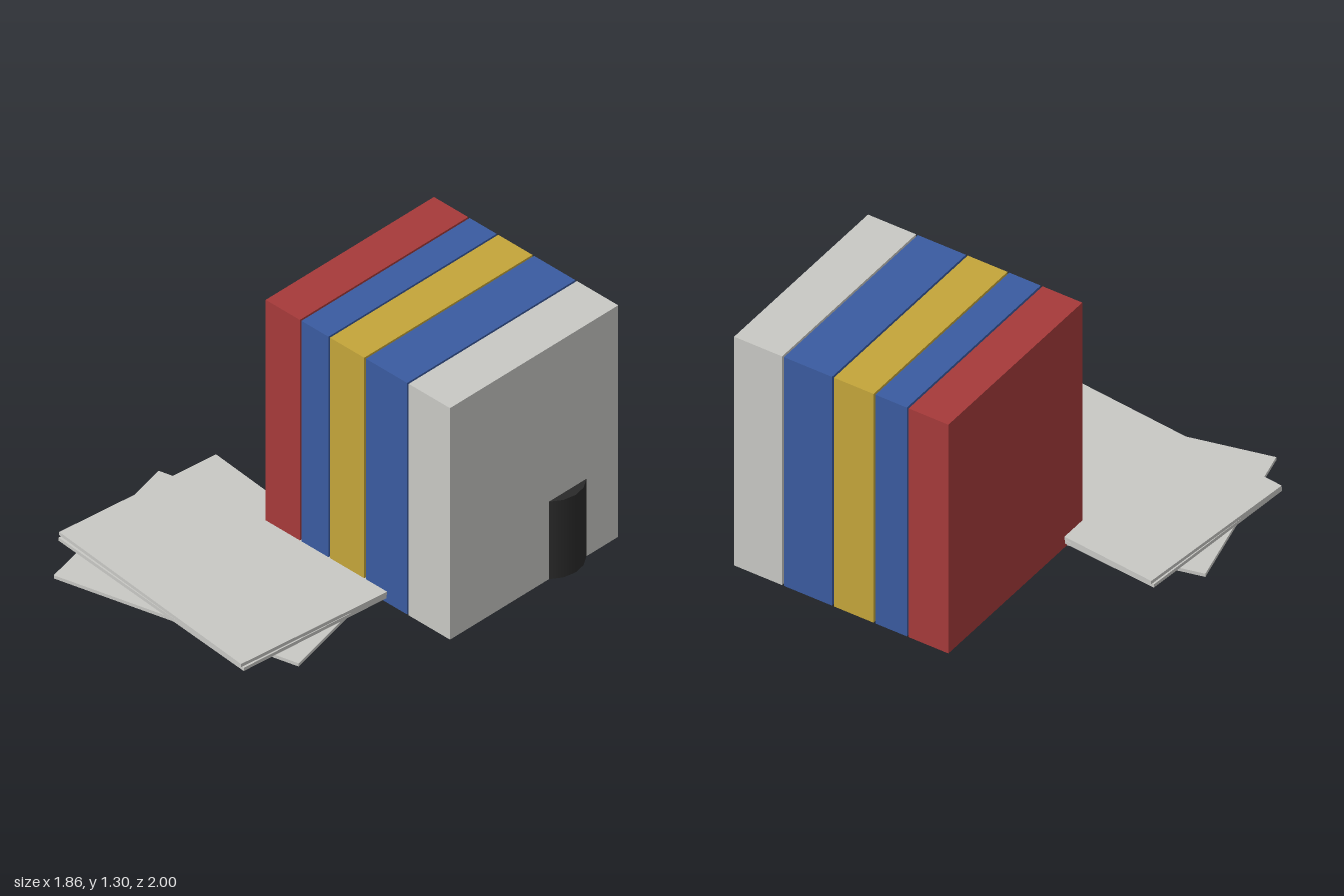
import * as THREE from 'three';

const material = (name, color) => {
  const m = new THREE.MeshStandardMaterial({ color });
  m.name = name;
  return m;
};

export function createModel() {
  const group = new THREE.Group();
  group.name = 'deskBooksAndPapers';

  const red = material('red', 0xa63a3a);
  const blue = material('blue', 0x3a5ba0);
  const yellow = material('yellow', 0xc4a53a);
  const paleGrey = material('paleGrey', 0xc8c8c4);
  const black = material('black', 0x2a2a2a);

  const add = (name, geometry, mat, x, y, z, turn = 0) => {
    const mesh = new THREE.Mesh(geometry, mat);
    mesh.name = name;
    mesh.position.set(x, y, z);
    mesh.rotation.y = turn;
    group.add(mesh);
  };

  // Row of upright books: left edge, right edge, colour
  const books = [
    [-0.285, -0.07, red],
    [-0.06, 0.11, blue],
    [0.12, 0.335, yellow],
    [0.345, 0.605, blue],
    [0.615, 0.875, paleGrey],
  ];
  books.forEach(([x0, x1, mat], i) => {
    add(`book${i + 1}`, new THREE.BoxGeometry(x1 - x0, 1.3, 1.08), mat, (x0 + x1) / 2, 0.65, -0.46);
  });

  // Loose stack of papers, each turned a little differently
  [0.235, -0.09, -0.1055].forEach((turn, i) => {
    add(`paper${i + 1}`, new THREE.BoxGeometry(1.284, 0.018, 0.914), paleGrey, -0.2, 0.009 + i * 0.022, 0.405, turn);
  });

  // Cup standing at the end of the row
  add('cup', new THREE.CylinderGeometry(0.17, 0.17, 0.435, 16), black, 0.755, 0.2175, -0.675);

  return group;
}
